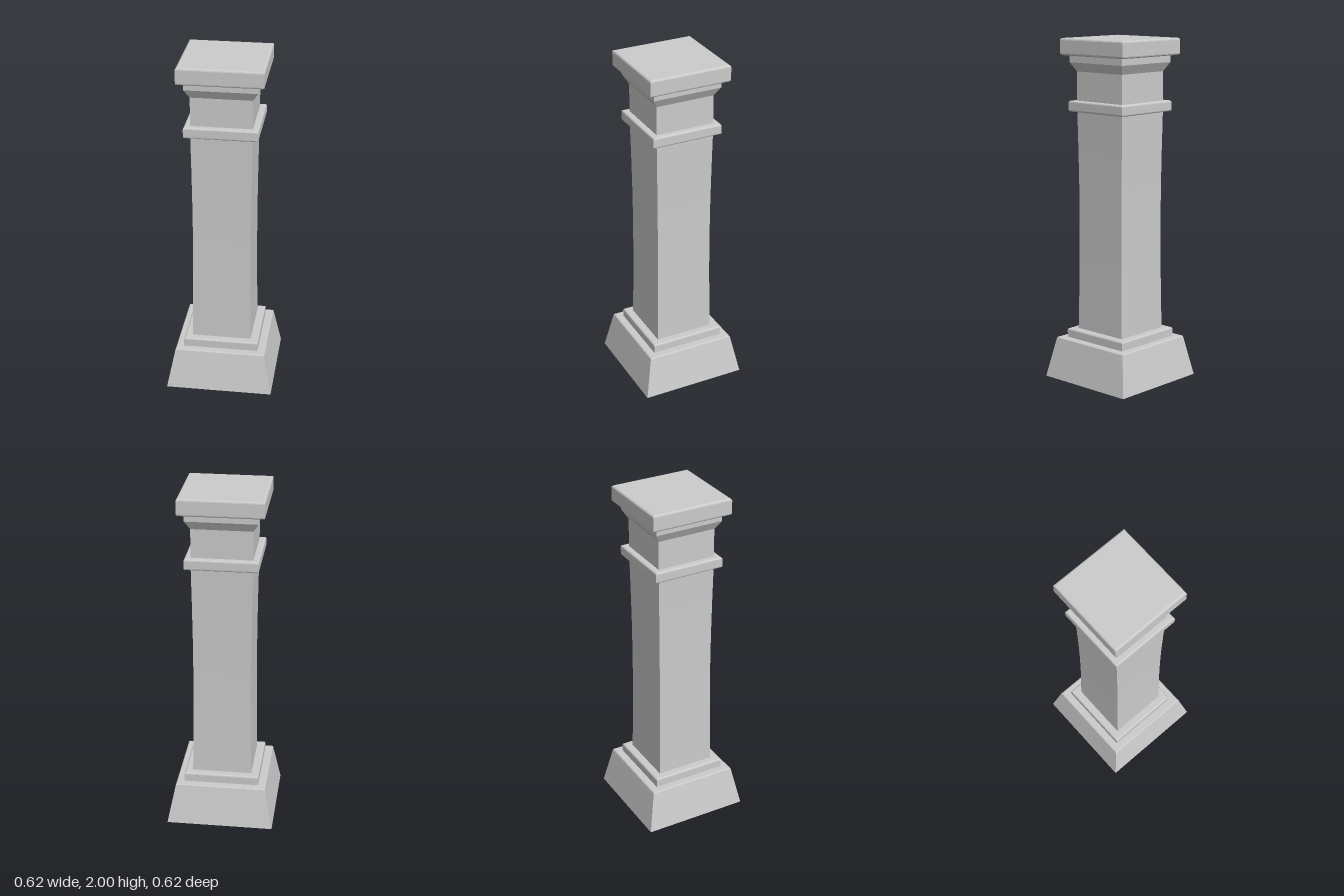
import * as THREE from 'three';

const material = new THREE.MeshStandardMaterial({
  color: 0xcccccc, flatShading: true, side: THREE.DoubleSide,
});

// Sweeps a profile of [half width, height] points around a square plan.
function squareShell(name, profile) {
  const points = profile.map(([w, y]) => new THREE.Vector2(w * Math.SQRT2, y));
  const geometry = new THREE.LatheGeometry(points, 4, Math.PI / 4);
  const mesh = new THREE.Mesh(geometry, material);
  mesh.name = name;
  return mesh;
}

// Points of a quarter-round edge; side 1 rounds an upper edge, -1 a lower one.
function roundedEdge(w, y, r, side) {
  const steps = 3, points = [];
  for (let i = 0; i <= steps; i++) {
    const a = (i / steps) * Math.PI / 2;
    points.push([w - r + r * Math.cos(a), y + side * (r * Math.sin(a) - r)]);
  }
  return side > 0 ? points : points.reverse();
}

// A moulding band with rounded edges between two heights.
function band(w, y0, y1, r) {
  return [...roundedEdge(w, y0, r, -1), ...roundedEdge(w, y1, r, 1)];
}

export function createModel() {
  const group = new THREE.Group();
  group.name = 'pillar';
  const shaft = 0.174;

  // Sloping plinth, open underneath
  group.add(squareShell('plinth', [
    [0.312, 0], [0.267, 0.225], [0.265, 0.235], [0.26, 0.24], [0.22, 0.24],
  ]));

  // Step on top of the plinth
  group.add(squareShell('baseStep', [
    [0.22, 0.24], ...roundedEdge(0.22, 0.293, 0.01, 1), [shaft, 0.293],
  ]));

  // Shaft, slightly waisted at mid height
  const waist = [];
  for (let i = 0; i <= 6; i++) {
    const t = i / 6;
    waist.push([shaft - 0.007 * Math.sin(Math.PI * t), 0.293 + t * (1.58 - 0.293)]);
  }
  group.add(squareShell('shaft', waist));

  // Collar moulding
  group.add(squareShell('collar', [
    [shaft, 1.58], ...band(0.209, 1.58, 1.643, 0.01), [shaft, 1.643],
  ]));

  // Neck flaring out under the cap
  group.add(squareShell('neck', [
    [shaft, 1.643], [shaft, 1.81], [0.204, 1.862], [0.204, 1.902],
  ]));

  // Cap slab
  group.add(squareShell('cap', [
    [0.204, 1.902], ...band(0.242, 1.902, 2, 0.012), [0, 2],
  ]));

  return group;
}
